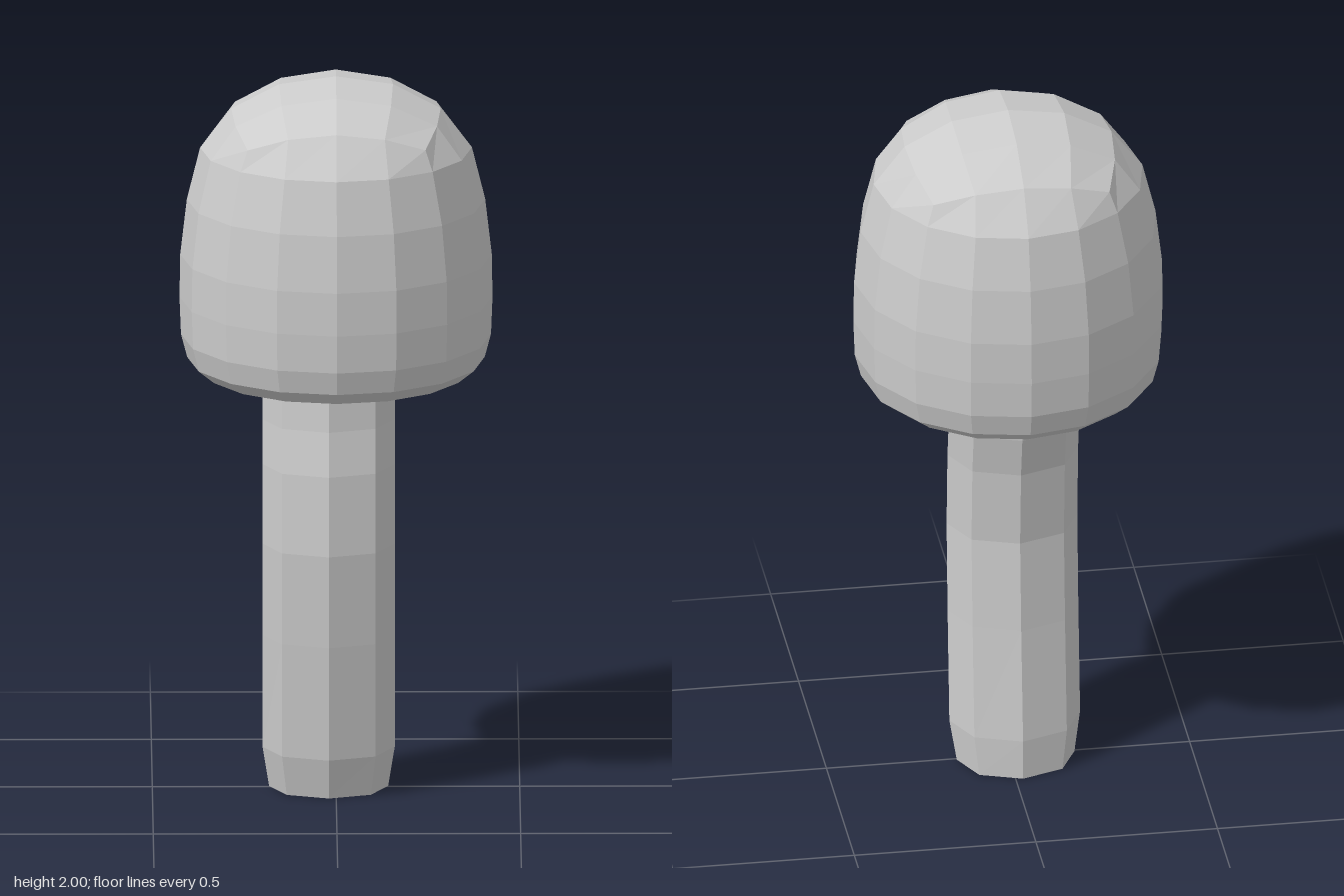
import * as THREE from 'three';

// Cap side rings from the shoulder down to the rim: [radius, height]
const capRings = [[0.37, 1.8], [0.406, 1.655], [0.424, 1.5], [0.426, 1.38], [0.422, 1.275], [0.405, 1.21]];

// Stem rings from the foot up: [height, centre z, radius x, radius z]
const stemRings = [
  [0, -0.006, 0.162, 0.134], [0.115, 0.01, 0.18, 0.15], [0.44, 0.042, 0.18, 0.149],
  [0.7, 0.06, 0.18, 0.147], [0.92, 0.044, 0.18, 0.147], [1.04, 0.02, 0.18, 0.147], [1.18, 0.006, 0.18, 0.147],
];

// Moves every vertex of a geometry by a rule
function reshape(geometry, rule) {
  const pos = geometry.attributes.position;
  const v = new THREE.Vector3();
  for (let i = 0; i < pos.count; i++) {
    rule(v.fromBufferAttribute(pos, i));
    pos.setXYZ(i, v.x, v.y, v.z);
  }
  geometry.computeVertexNormals();
  return geometry;
}

// Domed top patch: a 4 x 4 grid with rounded corners
function domePoint(p) {
  const bulge = (a) => Math.sign(a) * (0.335 * Math.abs(a) - 0.05 * a * a);
  const x = bulge(p.x) * (1 - 0.15 * p.z * p.z);
  const z = bulge(p.z) * (1 - 0.15 * p.x * p.x);
  const r2 = x * x + z * z;
  p.set(x, 2 - 0.83 * r2 - 3.4 * r2 * r2, z);
}

// Square grid point wrapped onto a circle of the given radius
function ringPoint(p, radius, y) {
  const s = Math.max(Math.abs(p.x), Math.abs(p.z));
  if (s < 1e-6) return p.set(0, y, 0);
  const q = Math.PI / 4;
  let a;
  if (Math.abs(p.x) >= Math.abs(p.z)) a = (p.z / p.x) * q + (p.x < 0 ? Math.PI : 0);
  else a = Math.PI / 2 - (p.x / p.z) * q + (p.z < 0 ? Math.PI : 0);
  return p.set(Math.cos(a) * radius, y, Math.sin(a) * radius);
}

function capGeometry() {
  const rows = capRings.length + 1;
  return reshape(new THREE.BoxGeometry(2, 2, 2, 4, rows, 4), (p) => {
    const row = Math.round((1 - p.y) / 2 * rows);
    if (row === 0) return domePoint(p);
    if (row === rows) {
      // Nearly flat underside
      const s = Math.max(Math.abs(p.x), Math.abs(p.z));
      return ringPoint(p, 0.36 * s, 1.15 + 0.023 * s ** 4);
    }
    ringPoint(p, ...capRings[row - 1]);
  });
}

function stemGeometry() {
  const rows = stemRings.length - 1;
  return reshape(new THREE.CylinderGeometry(1, 1, 1, 8, rows), (p) => {
    const [y, cz, rx, rz] = stemRings[Math.round((p.y + 0.5) * rows)];
    p.set(-0.02 + p.x * rx, y, cz + p.z * rz);
  });
}

export function createModel() {
  const material = new THREE.MeshStandardMaterial({ color: 0xcccccc, flatShading: true });
  const group = new THREE.Group();
  group.name = 'mushroom';
  for (const [name, geometry] of [['cap', capGeometry()], ['stem', stemGeometry()]]) {
    const mesh = new THREE.Mesh(geometry, material);
    mesh.name = name;
    group.add(mesh);
  }
  return group;
}
